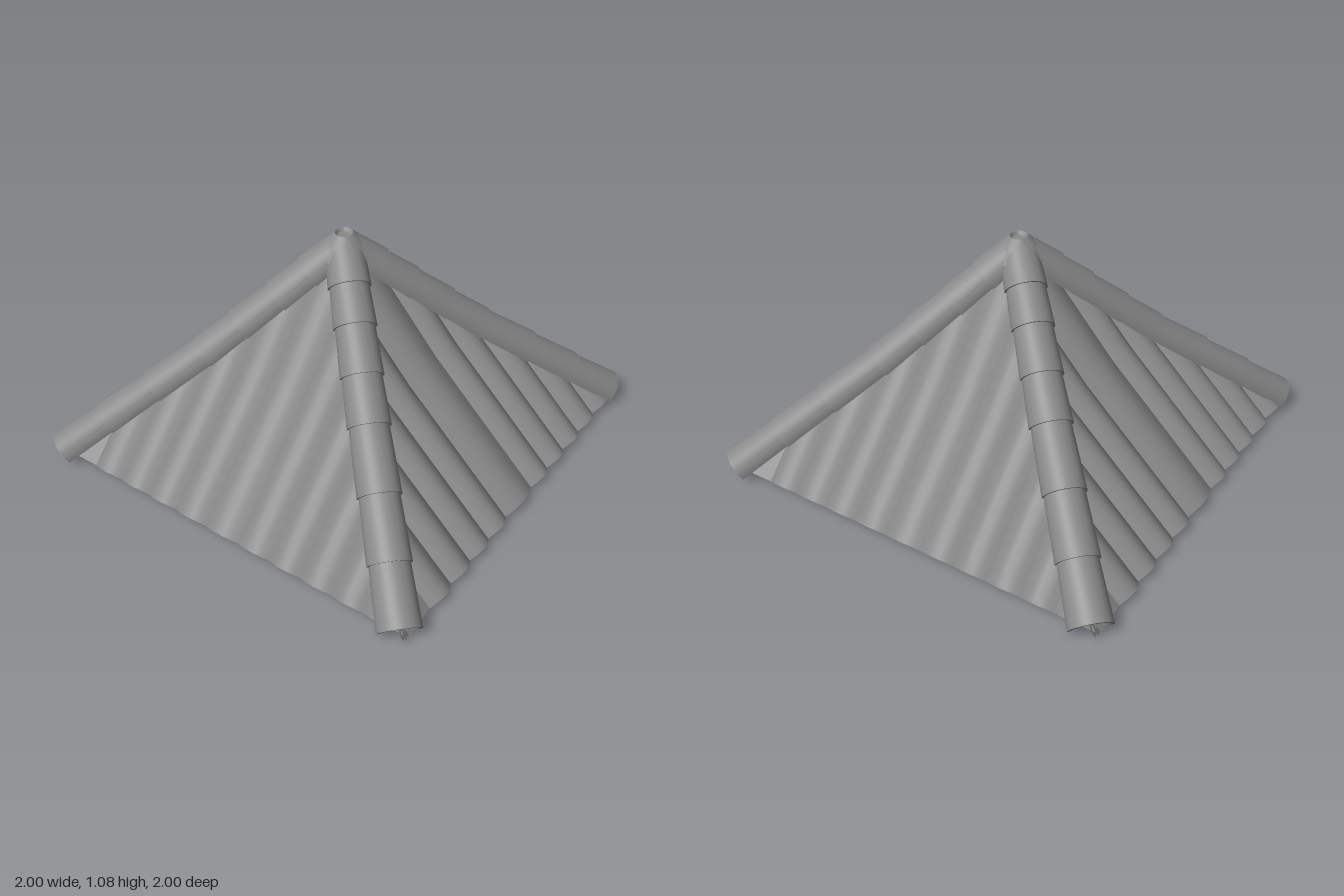
import * as THREE from 'three';
import { toCreasedNormals } from 'three/addons/utils/BufferGeometryUtils.js';

const EAVE = 0.95;
const ROWS = 8;
const COLS = 6;

// Height of the slightly concave roof at plan distance d from the apex
function roofHeight(d, apex, bend, eave) {
  return d < 0.42
    ? apex + (bend - apex) * d / 0.42
    : bend + (eave - bend) * (d - 0.42) / (EAVE - 0.42);
}
const slopeY = (d) => roofHeight(d, 0.99, 0.52, 0.015);
const hipY = (d) => roofHeight(d, 1.0, 0.53, 0.01);

// One arched roof strip between two valleys, cut along the hips, with thickness
function stripGeometry(a, b, fullWidth) {
  const pos = [], index = [], loop = 2 * (ROWS + 1);
  for (let i = 0; i <= COLS; i++) {
    const x = a + (b - a) * i / COLS;
    const arch = 0.04 * Math.sin(Math.PI * Math.abs(i / COLS) * (b - a) / fullWidth);
    const bump = a < -0.89 ? 0.02 * (1 - i / COLS) : arch;
    for (let j = 0; j < loop; j++) {
      const top = j <= ROWS;
      const t = (top ? j : loop - 1 - j) / ROWS;
      const d = Math.abs(x) + (EAVE - Math.abs(x)) * t;
      const lift = (bump - (top ? 0 : 0.018)) * 0.71;
      pos.push(x, slopeY(d) + lift, d + lift);
    }
  }
  for (let i = 0; i < COLS; i++) {
    for (let j = 0; j < loop - 1; j++) {
      const p = i * loop + j, q = p + loop;
      index.push(p, p + 1, q + 1, p, q + 1, q);
    }
  }
  const g = new THREE.BufferGeometry();
  g.setAttribute('position', new THREE.Float32BufferAttribute(pos, 3));
  g.setIndex(index);
  return toCreasedNormals(g, 0.6);
}

// A whole corrugated slope facing +z
function makeSlope(name, valleys, material) {
  const slope = new THREE.Group();
  slope.name = name;
  const edges = [-0.94, ...valleys.map((v) => -v).reverse(), ...valleys, 0.94];
  for (let k = 0; k < edges.length - 1; k++) {
    const a = edges[k], b = edges[k + 1];
    const full = b - a < 0.1 ? 0.16 : b - a;
    const strip = new THREE.Mesh(stripGeometry(a, b, full), material);
    strip.name = 'roofStrip';
    slope.add(strip);
  }
  return slope;
}

// Half-round ridge tile, wider at its lower end, lying along +z
function ridgeTileGeometry(length) {
  const over = 0.12, outer = 0.095, inner = 0.079;
  const shape = new THREE.Shape();
  shape.absarc(0, 0, outer, -over, Math.PI + over, false);
  shape.absarc(0, 0, inner, Math.PI + over, -over, true);
  const g = new THREE.ExtrudeGeometry(shape, { depth: length, bevelEnabled: false, curveSegments: 14 });
  const p = g.attributes.position;
  for (let i = 0; i < p.count; i++) {
    const k = 1 - 0.1 * p.getZ(i) / length;
    p.setXY(i, p.getX(i) * k, p.getY(i) * k);
  }
  return toCreasedNormals(g, 0.6);
}

// A row of overlapping tiles down the hip towards +x +z
function makeHip(material) {
  const hip = new THREE.Group();
  hip.name = 'hipRidge';
  const stops = [0.0, 0.1, 0.2, 0.32, 0.44, 0.61, 0.77, 0.922];
  for (let k = 0; k < stops.length - 1; k++) {
    const hi = Math.max(0, stops[k] - 0.015), lo = stops[k + 1];
    const start = new THREE.Vector3(lo, hipY(lo), lo);
    const along = new THREE.Vector3(hi, hipY(hi), hi).sub(start);
    const length = along.length();
    along.normalize();
    const across = new THREE.Vector3(0, 1, 0).cross(along).normalize();
    const up = new THREE.Vector3().crossVectors(along, across);
    const tile = new THREE.Mesh(ridgeTileGeometry(length), material);
    tile.name = 'ridgeTile';
    tile.quaternion.setFromRotationMatrix(new THREE.Matrix4().makeBasis(across, up, along));
    tile.position.copy(start);
    hip.add(tile);
  }
  return hip;
}

export function createModel() {
  const roof = new THREE.Group();
  roof.name = 'pyramidRoof';
  const grey = new THREE.MeshStandardMaterial({ color: 0x888888, side: THREE.DoubleSide });
  grey.name = 'tileGrey';

  // Four slopes; the left and right ones are a little steeper
  const wide = [0.115, 0.27, 0.425, 0.58, 0.74, 0.9];
  const narrow = [0.09, 0.26, 0.425, 0.59, 0.75, 0.915];
  ['frontSlope', 'leftSlope', 'backSlope', 'rightSlope'].forEach((name, i) => {
    const slope = makeSlope(name, i % 2 ? narrow : wide, grey);
    slope.rotation.y = i * Math.PI / 2;
    if (i % 2) slope.scale.z = 0.963;
    roof.add(slope);
  });

  // Four hips
  for (let i = 0; i < 4; i++) {
    const hip = makeHip(grey);
    hip.rotation.y = i * Math.PI / 2;
    roof.add(hip);
  }

  // Apex cap with a shallow pit
  const profile = [[0.12, 0.985], [0.08, 1.045], [0.04, 1.08], [0.03, 1.065], [0, 1.06]]
    .map(([r, y]) => new THREE.Vector2(r, y));
  const cap = new THREE.Mesh(toCreasedNormals(new THREE.LatheGeometry(profile, 24), 0.6), grey);
  cap.name = 'apexCap';
  roof.add(cap);
  return roof;
}
